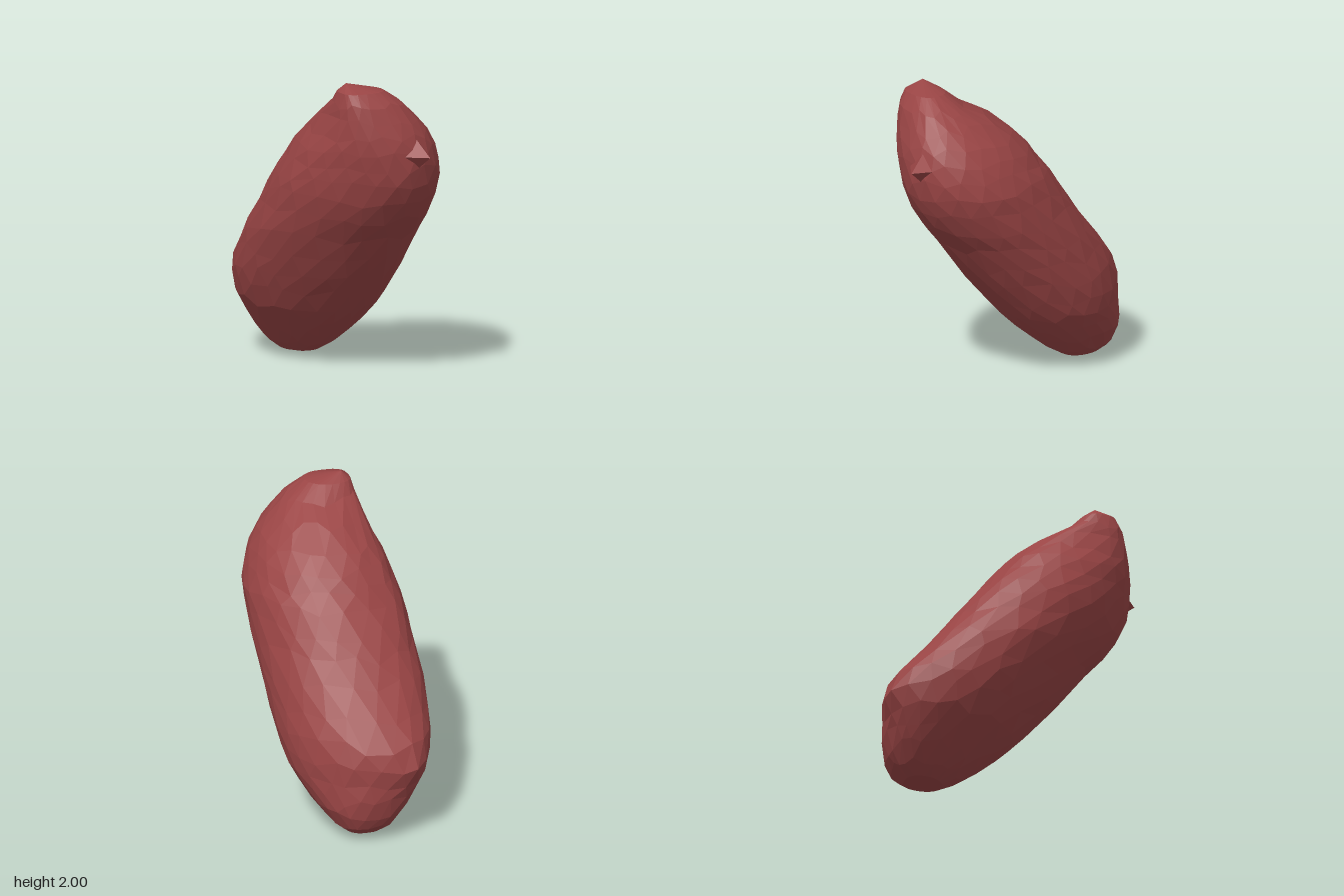
import * as THREE from 'three';

// Level outlines of the tuber: [y, left x, right x, back z, front z]
const LEVELS = [
  [0.03, -0.1, 0.13, -0.7, -0.44],
  [0.09, -0.18, 0.21, -0.78, -0.33],
  [0.19, -0.26, 0.29, -0.83, -0.19],
  [0.29, -0.33, 0.35, -0.85, -0.07],
  [0.4, -0.41, 0.41, -0.85, 0.05],
  [0.52, -0.45, 0.44, -0.86, 0.16],
  [0.65, -0.48, 0.46, -0.83, 0.28],
  [0.8, -0.49, 0.47, -0.71, 0.4],
  [0.95, -0.5, 0.48, -0.58, 0.51],
  [1.1, -0.48, 0.49, -0.46, 0.65],
  [1.24, -0.47, 0.49, -0.36, 0.74],
  [1.36, -0.45, 0.49, -0.27, 0.79],
  [1.46, -0.42, 0.46, -0.18, 0.81],
  [1.56, -0.39, 0.42, -0.11, 0.81],
  [1.66, -0.34, 0.36, 0, 0.79],
  [1.77, -0.3, 0.26, 0.13, 0.75],
  [1.87, -0.28, 0.15, 0.34, 0.71],
  [1.95, -0.26, 0.03, 0.42, 0.65],
];
const BOTTOM = [0.03, 0, -0.56];
const TOP = [-0.2, 2, 0.5];
const SEGMENTS = 22;
const SKEW = 0.15; // leans each outline diagonally

// Local features: centre, push, radius
const FEATURES = [
  { at: [-0.25, 0.52, -0.8], push: [0, 0, -0.06], r: 0.14 }, // back corner
  { at: [-0.22, 1.36, -0.26], push: [0, -0.02, 0.02], r: 0.08 }, // eyes
  { at: [-0.22, 1.56, -0.1], push: [0, -0.02, 0.02], r: 0.08 },
  { at: [-0.22, 1.77, 0.14], push: [0, -0.02, 0.02], r: 0.08 },
].map(({ at, push, r }) => ({ at: new THREE.Vector3(...at), push: new THREE.Vector3(...push), r }));

function seeded(seed) {
  return () => {
    seed = (seed * 16807) % 2147483647;
    return seed / 2147483647 - 0.5;
  };
}

// Outline at a fractional level
function outlineAt(h) {
  const i = Math.min(Math.floor(h), LEVELS.length - 2);
  return LEVELS[i].map((v, k) => THREE.MathUtils.lerp(v, LEVELS[i + 1][k], h - i));
}

// Squareness of each quarter (lower is squarer), changing towards the ends
function quarterPower(c, s, y) {
  const upper = THREE.MathUtils.smoothstep(y, 1.4, 1.85);
  const lower = 1 - THREE.MathUtils.smoothstep(y, 0.05, 0.45);
  if (s > 0) return c < 0 ? 1.12 - 0.5 * upper : 1 - 0.1 * upper;
  return c < 0 ? 0.85 : 0.93 + 0.12 * (1 - THREE.MathUtils.smoothstep(y, 0.6, 1)) - 0.35 * lower;
}

function surfacePoint(h, t) {
  const [y, x0, x1, z0, z1] = outlineAt(h);
  const c = Math.cos(t), s = Math.sin(t + SKEW);
  const power = quarterPower(c, s, y);
  const bend = (v) => Math.sign(v) * Math.abs(v) ** power;
  const point = new THREE.Vector3(
    (x0 + x1) / 2 + ((x1 - x0) / 2) * bend(c),
    y,
    (z0 + z1) / 2 + ((z1 - z0) / 2) * bend(s)
  );
  for (const { at, push, r } of FEATURES) {
    const d = point.distanceTo(at) / r;
    point.addScaledVector(push, Math.exp(-d * d));
  }
  return point;
}

function tuberGeometry() {
  const rand = seeded(71);
  const positions = [];
  const index = [];
  const last = LEVELS.length - 1;

  // Rings with uneven spacing both ways, for irregular facets
  for (let i = 0; i <= last; i++) {
    for (let s = 0; s < SEGMENTS; s++) {
      const h = i === 0 || i === last ? i : i + rand() * 0.6;
      const t = ((s + (i % 2) * 0.5 + rand() * 0.4) / SEGMENTS) * Math.PI * 2;
      positions.push(...surfacePoint(h, t).toArray());
    }
  }

  // Side facets
  for (let i = 0; i < last; i++) {
    for (let s = 0; s < SEGMENTS; s++) {
      const n = (s + 1) % SEGMENTS;
      const a = i * SEGMENTS + s, b = i * SEGMENTS + n;
      const c = a + SEGMENTS, d = b + SEGMENTS;
      if (i % 2) index.push(a, c, d, a, d, b);
      else index.push(a, c, b, b, c, d);
    }
  }

  // Closing fans at both ends
  const bottom = positions.length / 3;
  positions.push(...BOTTOM, ...TOP);
  for (let s = 0; s < SEGMENTS; s++) {
    const n = (s + 1) % SEGMENTS;
    index.push(bottom, s, n);
    index.push(bottom + 1, last * SEGMENTS + n, last * SEGMENTS + s);
  }

  const geometry = new THREE.BufferGeometry();
  geometry.setAttribute('position', new THREE.Float32BufferAttribute(positions, 3));
  geometry.setIndex(index);
  geometry.computeVertexNormals();
  return geometry;
}

export function createModel() {
  const group = new THREE.Group();
  group.name = 'tuber';
  const material = new THREE.MeshStandardMaterial({ color: 0x9a4545, flatShading: true });

  const body = new THREE.Mesh(tuberGeometry(), material);
  body.name = 'tuberBody';
  group.add(body);

  // Small four-sided sprout on the upper front, mostly sunk into the body
  const sprout = new THREE.Mesh(new THREE.ConeGeometry(0.16, 0.2, 4), material);
  sprout.name = 'sprout';
  sprout.rotation.set(Math.PI / 2, 0, -0.3);
  sprout.position.set(0.17, 1.55, 0.795);
  group.add(sprout);
  return group;
}
